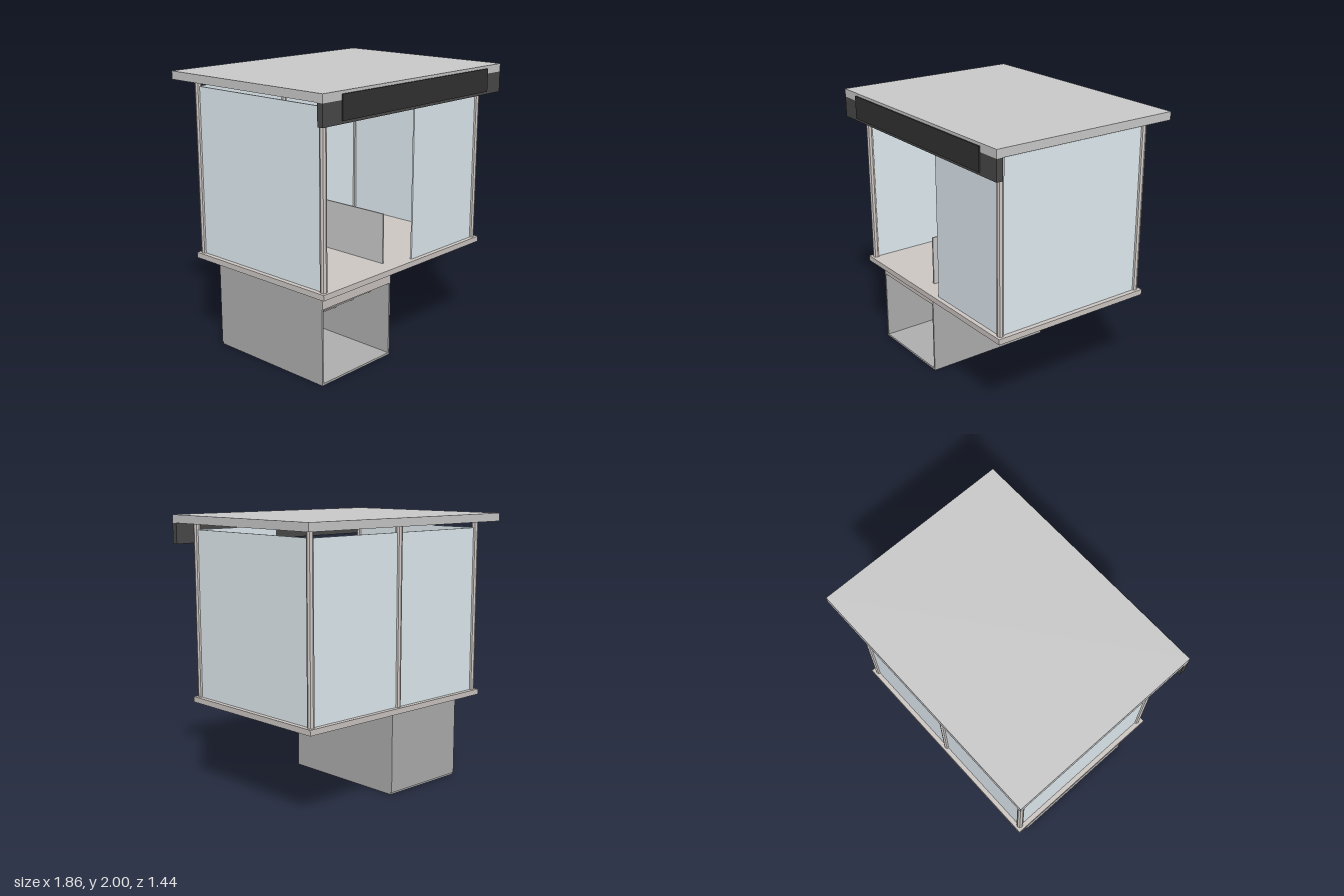
import * as THREE from 'three';

const mat = (color) => new THREE.MeshStandardMaterial({ color, flatShading: true });

export function createModel() {
  const model = new THREE.Group();
  const grey = mat(0xcccccc);
  const stone = mat(0xcfc9c5);
  const glass = mat(0xe4eff5);
  const shell = mat(0xb0b0b0);
  const board = mat(0x4a4a4a);
  const panel = mat(0x333333);

  // Box given by its extents along each axis
  function block(name, [x0, x1], [y0, y1], [z0, z1], material, parent = model) {
    const mesh = new THREE.Mesh(new THREE.BoxGeometry(x1 - x0, y1 - y0, z1 - z0), material);
    mesh.position.set((x0 + x1) / 2, (y0 + y1) / 2, (z0 + z1) / 2);
    mesh.name = name;
    parent.add(mesh);
    return mesh;
  }

  // Roof and fascia
  block('roof', [-0.928, 0.928], [1.942, 2], [-0.722, 0.712], grey);
  block('fascia', [-0.928, 0.928], [1.795, 1.942], [0.667, 0.712], board);
  block('signPanel', [-0.76, 0.76], [1.815, 1.98], [0.712, 0.722], panel);

  // Floor slab
  const floorTop = 0.69, floorBottom = 0.65;
  block('floor', [-0.845, 0.845], [floorBottom, floorTop], [-0.633, 0.633], stone);

  // Posts: four corners and one in the middle of the back
  const px = 0.805, pz = 0.594, postHeight = 1.942 - floorTop;
  const postGeometry = new THREE.CylinderGeometry(0.024, 0.024, postHeight, 8);
  for (const [x, z] of [[-px, pz], [px, pz], [-px, -pz], [px, -pz], [0, -pz]]) {
    const post = new THREE.Mesh(postGeometry, stone);
    post.position.set(x, floorTop + postHeight / 2, z);
    post.name = 'post';
    model.add(post);
  }

  // Glazing: both sides, two bays at the back, one bay at the front
  const paneY = [floorTop, 1.895], t = 0.006;
  for (const s of [-1, 1]) {
    block('sidePane', [s * px - t, s * px + t], paneY, [-pz + 0.02, pz - 0.02], glass);
    block('backPane', s < 0 ? [-px + 0.02, -0.02] : [0.02, px - 0.02], paneY, [-pz - t, -pz + t], glass);
  }
  block('frontPane', [0.085, px - 0.02], paneY, [pz - t, pz + t], glass);

  // Low screen beside the stairs
  block('stairScreen', [-0.126, -0.114], [floorTop, 1.05], [-0.475, 0.51], grey);

  // Stairwell below the floor, open at the front
  const well = new THREE.Group();
  well.name = 'stairwell';
  model.add(well);
  const x0 = -0.77, x1 = -0.08, front = 0.545, back = -0.475, wall = 0.013;
  block('wellBase', [x0, x1], [0, 0.015], [back + 0.01, front], shell, well);
  block('wellRightWall', [x0, x0 + wall], [0.015, floorBottom], [back, front], shell, well);
  block('wellLeftWall', [x1 - wall, x1], [0.015, floorBottom], [back, front], shell, well);
  block('wellBackWall', [x0 + wall, x1 - wall], [0.015, floorBottom], [back, back + 0.012], shell, well);

  // Steps going down from the front to the back
  const steps = 6, rise = (floorBottom - 0.015) / steps, run = (front - back - 0.012) / steps;
  for (let i = 0; i < steps; i++) {
    const top = floorBottom - i * rise, z = front - i * run;
    block('step', [x0 + wall, x1 - wall], [top - rise, top], [z - run, z], stone, well);
  }
  block('topStepFace', [x0, x1], [floorBottom - rise, floorBottom], [front, front + 0.002], stone, well);

  return model;
}
